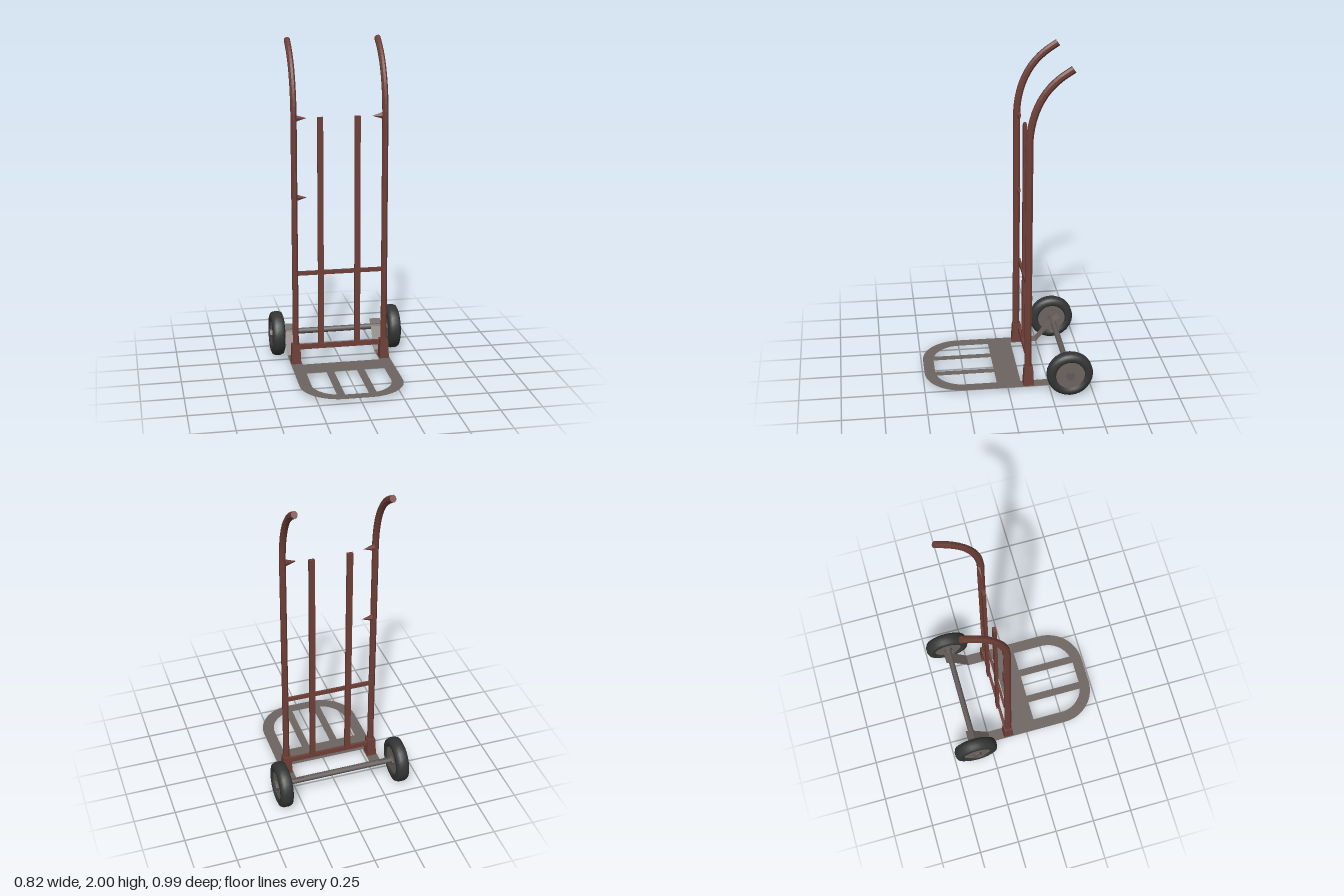
import * as THREE from 'three';

const mat = (name, color, side = THREE.FrontSide) => {
  const m = new THREE.MeshStandardMaterial({ color, side });
  m.name = name;
  return m;
};

export function createModel() {
  const root = new THREE.Group();
  root.name = 'handTruck';
  const red = mat('rustyRed', 0x6f3f38);
  const sheet = mat('greySheet', 0x6d6460, THREE.DoubleSide);
  const steel = mat('axleSteel', 0x625c5a);
  const rubber = mat('tyreRubber', 0x343535);

  const MID = -0.015; // centre line of the frame
  const AXLE_Y = 0.14, AXLE_Z = -0.357;

  const add = (name, geo, material, x = 0, y = 0, z = 0, parent = root) => {
    const m = new THREE.Mesh(geo, material);
    m.name = name;
    m.position.set(x, y, z);
    parent.add(m);
    return m;
  };
  const flat = (g) => {
    const n = g.index ? g.toNonIndexed() : g;
    n.computeVertexNormals();
    return n;
  };

  // Posts that bend back into the handles
  const path = new THREE.CatmullRomCurve3(
    [[0.1, -0.119], [0.8, -0.119], [1.4, -0.119], [1.6, -0.12], [1.7, -0.137], [1.78, -0.165],
      [1.86, -0.212], [1.93, -0.28], [1.984, -0.36]].map(([y, z]) => new THREE.Vector3(0, y, z)));
  const section = new THREE.Shape();
  for (let i = 0; i < 8; i++) {
    const a = (i + 0.5) * Math.PI / 4;
    section[i ? 'lineTo' : 'moveTo'](0.022 * Math.cos(a), 0.022 * Math.sin(a));
  }
  section.closePath();
  const postGeo = new THREE.ExtrudeGeometry(section, { steps: 48, extrudePath: path, bevelEnabled: false });
  postGeo.scale(0.85, 1, 1);

  for (const s of [-1, 1]) {
    const side = s < 0 ? 'right' : 'left';
    const x = MID + s * 0.275;
    add(side + 'Post', postGeo, red, x);

    // Foot socket, narrower at the top
    const socket = new THREE.BoxGeometry(0.058, 0.12, 0.064);
    const p = socket.attributes.position;
    for (let i = 0; i < p.count; i++) {
      if (p.getY(i) > 0) { p.setX(i, p.getX(i) * 0.85); p.setZ(i, p.getZ(i) * 0.8); }
    }
    add(side + 'Socket', flat(socket), red, x, 0.088, -0.122);

    // Inner upright slat
    add(side + 'Slat', new THREE.BoxGeometry(0.034, 1.43, 0.02), red, MID + s * 0.113, 0.835, -0.145);

    // Broken stubs of missing crossbars
    for (const y of s < 0 ? [1.55, 1.07] : [1.55]) {
      const stub = flat(new THREE.ConeGeometry(0.022, 0.065, 6));
      stub.rotateZ(s * Math.PI / 2);
      stub.scale(1, 1, 0.6);
      add(side + 'Stub', stub, red, x - s * 0.045, y, -0.13);
    }

    // Sheet arm running back and up to the axle
    const rows = [[0.027, -0.08], [0.029, -0.245], [0.15, -0.34], [0.185, -0.392]];
    const arm = new THREE.PlaneGeometry(0.07, 1, 1, 3);
    const ap = arm.attributes.position;
    for (let i = 0; i < ap.count; i++) {
      const [y, z] = rows[Math.floor(i / 2)];
      ap.setY(i, y);
      ap.setZ(i, z);
    }
    // Reverse the winding so the upper face is the front
    arm.index.array.reverse();
    add(side + 'AxleArm', flat(arm), sheet, MID + s * 0.275);

    // Wheel
    const wheel = new THREE.Group();
    wheel.name = side + 'Wheel';
    wheel.position.set(s < 0 ? -0.375 : 0.36, AXLE_Y, AXLE_Z);
    root.add(wheel);
    const profile = [[0.086, -0.028], [0.094, -0.039], [0.112, -0.04], [0.13, -0.033], [0.138, -0.015],
      [0.138, 0.015], [0.13, 0.033], [0.112, 0.04], [0.094, 0.039], [0.086, 0.028]]
      .map(([r, h]) => new THREE.Vector2(r, h));
    add('tyre', new THREE.LatheGeometry(profile, 28).rotateZ(Math.PI / 2), rubber, 0, 0, 0, wheel);
    add('hub', new THREE.CylinderGeometry(0.09, 0.09, 0.058, 24).rotateZ(Math.PI / 2), sheet, 0, 0, 0, wheel);
    add('hubNut', flat(new THREE.CylinderGeometry(0.028, 0.028, 0.084, 6).rotateZ(Math.PI / 2)),
      steel, s * 0.003, 0, 0, wheel);
  }

  // Crossbars
  add('middleCrossbar', new THREE.BoxGeometry(0.54, 0.025, 0.014), red, MID, 0.595, -0.137);
  add('lowerCrossbar', new THREE.BoxGeometry(0.53, 0.03, 0.016), red, MID, 0.122, -0.137);

  // Axle
  add('axle', new THREE.CylinderGeometry(0.018, 0.018, 0.73, 10).rotateZ(Math.PI / 2),
    steel, -0.008, 0.145, AXLE_Z);

  // Toe plate: rounded front, three openings
  const plate = new THREE.Shape();
  plate.moveTo(-0.31, -0.08);
  plate.lineTo(0.31, -0.08);
  plate.lineTo(0.31, 0.26);
  plate.absarc(0.08, 0.26, 0.23, 0, Math.PI / 2, false);
  plate.absarc(-0.08, 0.26, 0.23, Math.PI / 2, Math.PI, false);
  plate.closePath();
  const centre = new THREE.Path();
  centre.moveTo(-0.07, 0.065);
  centre.lineTo(-0.07, 0.425);
  centre.lineTo(0.07, 0.425);
  centre.lineTo(0.07, 0.065);
  centre.closePath();
  plate.holes.push(centre);
  for (const s of [-1, 1]) {
    const hole = new THREE.Path();
    hole.moveTo(s * 0.117, 0.065);
    hole.lineTo(s * 0.24, 0.065);
    for (let i = 0; i <= 10; i++) {
      const a = i / 10 * 1.29;
      hole.lineTo(s * (0.07 + 0.17 * Math.cos(a)), 0.255 + 0.17 * Math.sin(a));
    }
    hole.closePath();
    plate.holes.push(hole);
  }
  add('toePlate', new THREE.ShapeGeometry(plate, 14).rotateX(Math.PI / 2), sheet, MID, 0.027, 0);

  return root;
}
